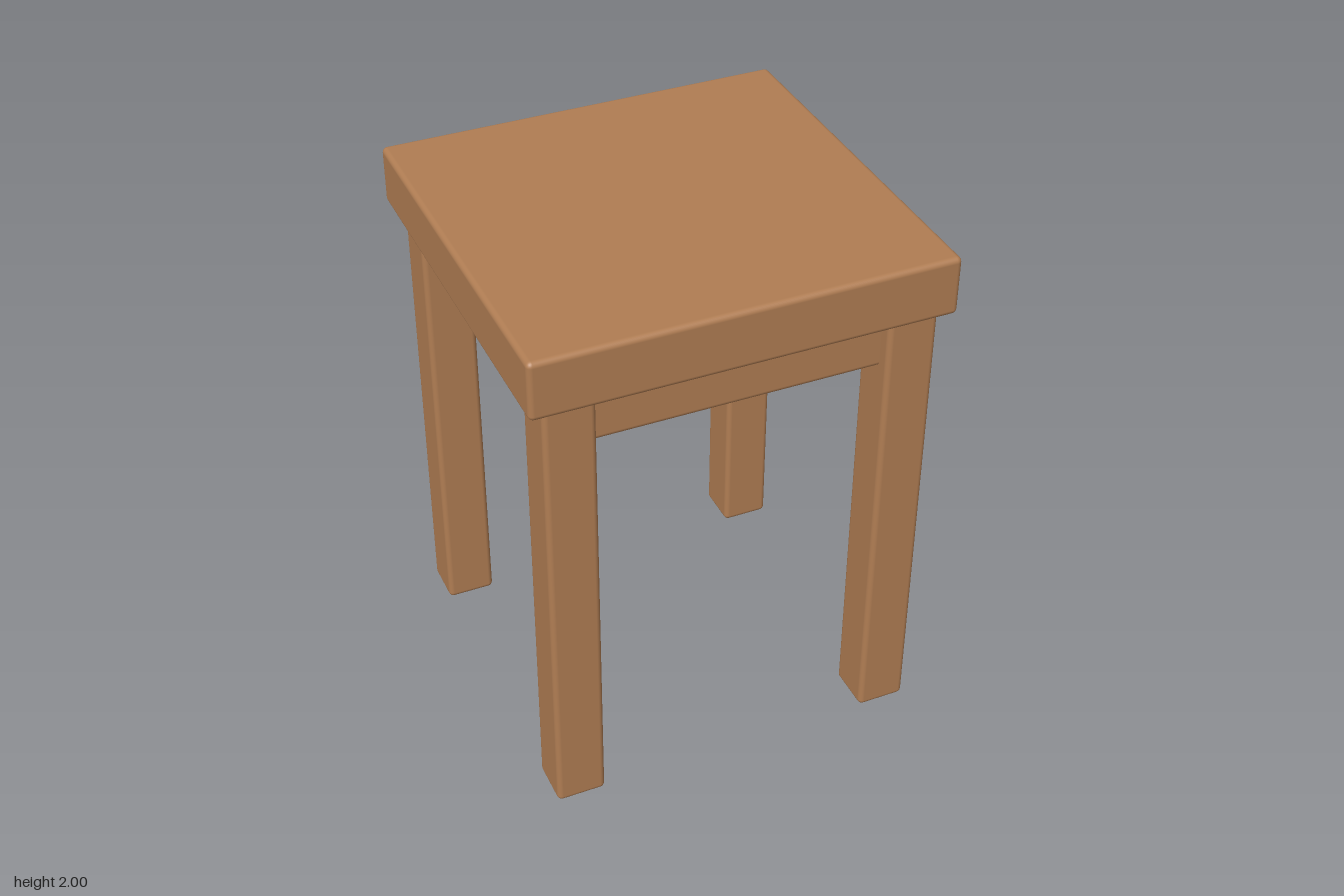
import * as THREE from 'three';
import { RoundedBoxGeometry } from 'three/addons/geometries/RoundedBoxGeometry.js';

export function createModel() {
  const stool = new THREE.Group();
  stool.name = 'stool';
  const wood = new THREE.MeshStandardMaterial({ color: 0xb07d53 });
  wood.name = 'brown wood';

  function add(name, geometry, [x, y, z]) {
    const mesh = new THREE.Mesh(geometry, wood);
    mesh.name = name;
    mesh.position.set(x, y, z);
    stool.add(mesh);
  }

  // Softly rounded wooden block, placed by its centre
  const block = (name, [w, h, d], centre) =>
    add(name, new RoundedBoxGeometry(w, h, d, 3, 0.02), centre);

  const legX = 0.622, frontZ = 0.617, backZ = -0.604, legW = 0.186;
  const midZ = (frontZ + backZ) / 2;

  // Seat slab
  block('seat', [1.54, 0.224, 1.486], [0, 1.888, 0]);

  // Legs, tops let slightly into the seat
  for (const [side, sx] of [['Left', 1], ['Right', -1]]) {
    block('frontLeg' + side, [legW, 1.81, legW], [sx * legX, 0.905, frontZ]);
    block('backLeg' + side, [legW, 1.81, legW], [sx * legX, 0.905, backZ]);
  }

  // Apron rails between the legs, set back from their outer faces
  const railH = 0.238, railY = 1.572 + railH / 2, railT = 0.1, inset = 0.01;
  const railX = 2 * legX - legW + 0.06, railZ = frontZ - backZ - legW + 0.06;
  block('frontApron', [railX, railH, railT], [0, railY, frontZ - inset]);
  block('backApron', [railX, railH, railT], [0, railY, backZ + inset]);
  block('leftApron', [railT, railH, railZ], [legX - inset, railY, midZ]);
  block('rightApron', [railT, railH, railZ], [-legX + inset, railY, midZ]);

  // Panel closing the space between the rails, just above their lower edge
  const panelH = 0.17;
  add('underPanel', new THREE.BoxGeometry(2 * legX - railT, panelH, frontZ - backZ - railT),
    [0, 1.63 + panelH / 2, midZ]);

  return stool;
}
